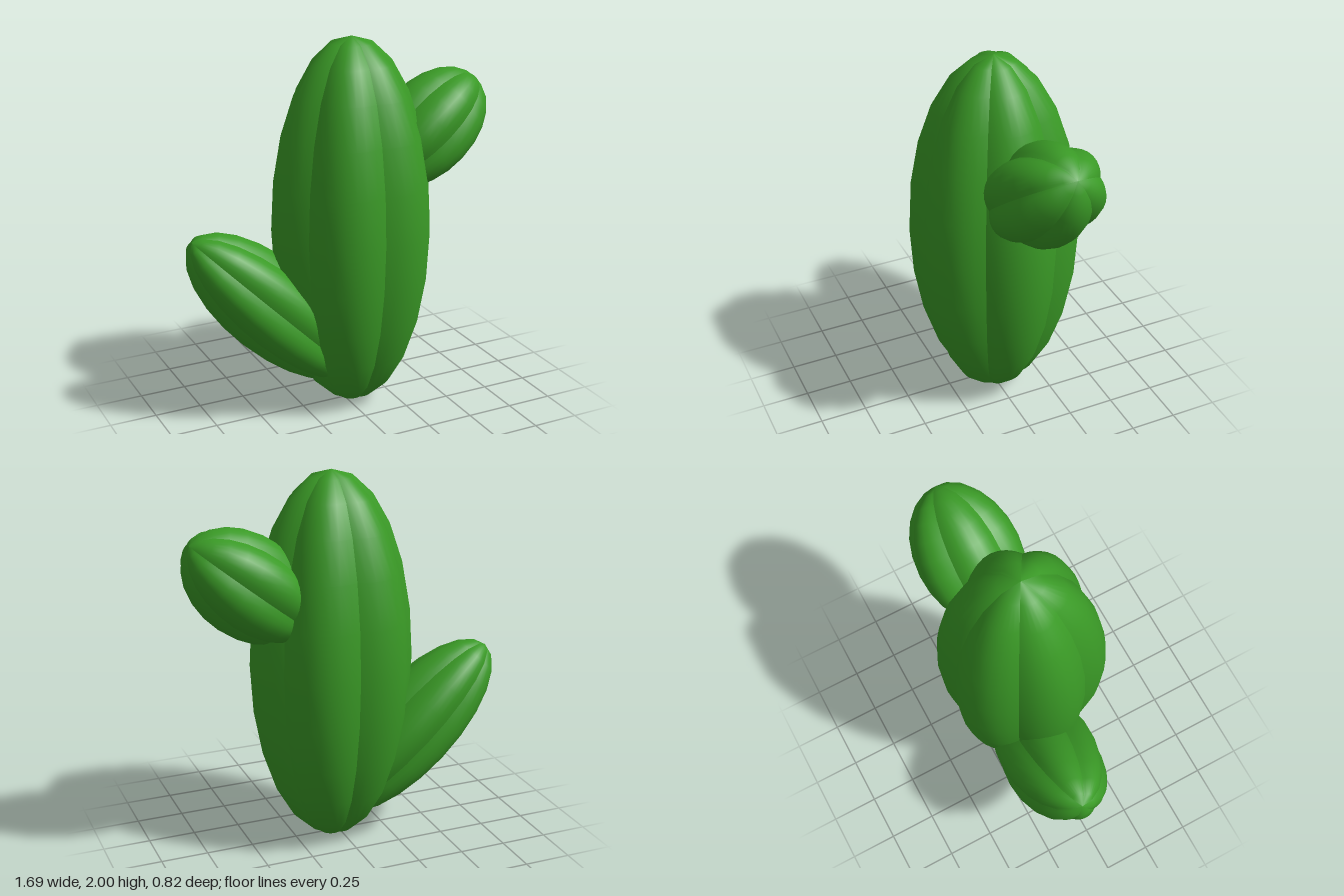
import * as THREE from 'three';
import { mergeGeometries, mergeVertices } from 'three/addons/utils/BufferGeometryUtils.js';

const LOBES = 6;

// Spheroid with rounded ribs; each rib is its own wedge so the grooves stay sharp.
function ribbedGeometry(rx, halfLength, rz) {
  const wedge = (Math.PI * 2) / LOBES;
  const ribs = [];
  for (let i = 0; i < LOBES; i++) {
    const start = Math.PI / 2 + i * wedge;
    let rib = new THREE.SphereGeometry(1, 8, 12, start, wedge);
    const p = rib.attributes.position;
    for (let j = 0; j < p.count; j++) {
      const angle = Math.atan2(p.getZ(j), -p.getX(j)) - start;
      const swell = 0.882 + 0.118 * Math.abs(Math.sin((angle * LOBES) / 2));
      p.setXYZ(j, p.getX(j) * rx * swell, p.getY(j) * halfLength, p.getZ(j) * rz * swell);
    }
    rib.deleteAttribute('uv');
    rib.deleteAttribute('normal');
    rib = mergeVertices(rib, 1e-5);
    rib.computeVertexNormals();
    ribs.push(rib);
  }
  return mergeGeometries(ribs);
}

export function createModel() {
  const model = new THREE.Group();
  model.name = 'cactus';
  const green = new THREE.MeshStandardMaterial({ color: 0x3a9a26 });
  green.name = 'cactus green';

  // Places a ribbed pad with its long axis along dir and one groove facing forward.
  function addPad(name, center, dir, rx, halfLength, rz) {
    const mesh = new THREE.Mesh(ribbedGeometry(rx, halfLength, rz), green);
    mesh.name = name;
    const y = new THREE.Vector3(...dir).normalize();
    const x = new THREE.Vector3().crossVectors(y, new THREE.Vector3(0, 0, 1)).normalize();
    const z = new THREE.Vector3().crossVectors(x, y);
    mesh.quaternion.setFromRotationMatrix(new THREE.Matrix4().makeBasis(x, y, z));
    mesh.position.set(...center);
    model.add(mesh);
  }

  addPad('trunk', [0.04, 1, 0], [0, 1, 0], 0.44, 1, 0.442);
  addPad('upperLeftArm', [0.505, 1.453, -0.05], [0.78, 0.63, -0.04], 0.26, 0.385, 0.28);
  addPad('lowerRightArm', [-0.386, 0.576, -0.065], [-0.707, 0.707, -0.07], 0.25, 0.6, 0.275);

  return model;
}
